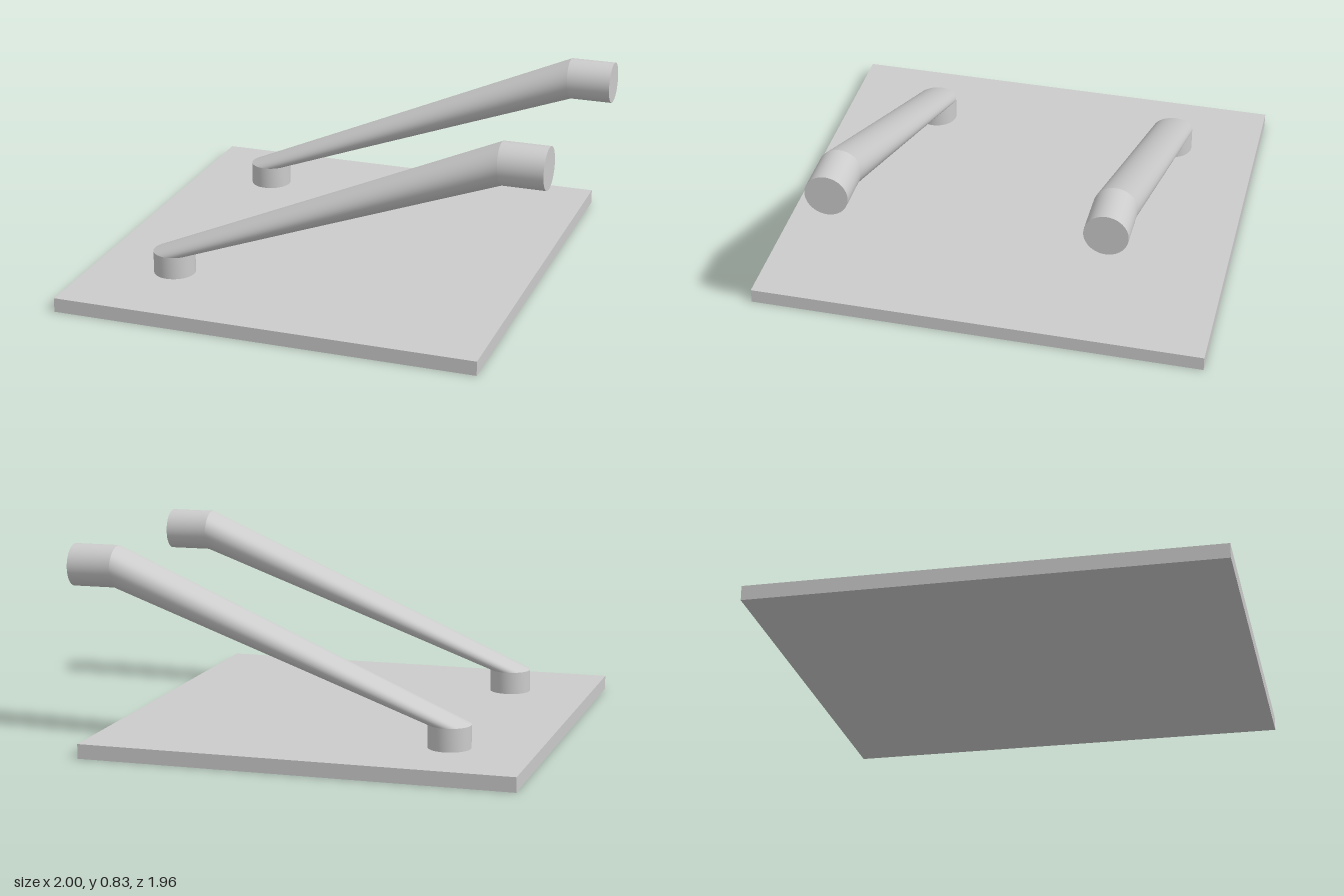
import * as THREE from 'three';

const SIDES = 48;
const RADIUS = 0.09;
const material = new THREE.MeshStandardMaterial({ color: 0xcccccc, side: THREE.DoubleSide });

// Circle facing along the x-y plane; tilt 0 faces up, tilt 90 degrees faces +x
function ring(x, y, tilt) {
  const points = [];
  for (let i = 0; i < SIDES; i++) {
    const a = (i / SIDES) * Math.PI * 2;
    const u = Math.cos(a) * RADIUS;
    points.push(x - u * Math.cos(tilt), y + u * Math.sin(tilt), Math.sin(a) * RADIUS);
  }
  return points;
}

// Smooth tube wall between two rings
function loft(from, to) {
  const index = [];
  for (let i = 0; i < SIDES; i++) {
    const j = (i + 1) % SIDES;
    index.push(i, j, SIDES + i, j, SIDES + j, SIDES + i);
  }
  const geometry = new THREE.BufferGeometry();
  geometry.setAttribute('position', new THREE.Float32BufferAttribute([...from, ...to], 3));
  geometry.setIndex(index);
  geometry.computeVertexNormals();
  return geometry;
}

function addMesh(parent, name, geometry) {
  const mesh = new THREE.Mesh(geometry, material);
  mesh.name = name;
  parent.add(mesh);
  return mesh;
}

// Short post, slanted arm and level end piece
function createHandle(name, z) {
  const handle = new THREE.Group();
  handle.name = name;
  const foot = ring(-0.637, 0.06, 0);
  const postTop = ring(-0.637, 0.16, 0);
  const bend = ring(0.81, 0.74, Math.PI / 2 - 0.06);
  const tip = ring(1, 0.74, Math.PI / 2);
  addMesh(handle, 'post', loft(foot, postTop));
  addMesh(handle, 'arm', loft(postTop, bend));
  addMesh(handle, 'endPiece', loft(bend, tip));
  const cap = addMesh(handle, 'endCap', new THREE.CircleGeometry(RADIUS, SIDES));
  cap.rotation.y = Math.PI / 2;
  cap.position.set(1, 0.74, 0);
  handle.position.z = z;
  return handle;
}

export function createModel() {
  const model = new THREE.Group();
  model.name = 'plateWithHandles';

  // Base plate, very slightly out of square
  const outline = new THREE.Shape([
    new THREE.Vector2(-1, -0.975),
    new THREE.Vector2(0.84, -0.967),
    new THREE.Vector2(0.835, 0.98),
    new THREE.Vector2(-1, 0.975),
  ]);
  const plate = addMesh(model, 'basePlate',
    new THREE.ExtrudeGeometry(outline, { depth: 0.062, bevelEnabled: false }));
  plate.rotation.x = -Math.PI / 2;

  model.add(createHandle('frontHandle', 0.545));
  model.add(createHandle('backHandle', -0.588));
  return model;
}
